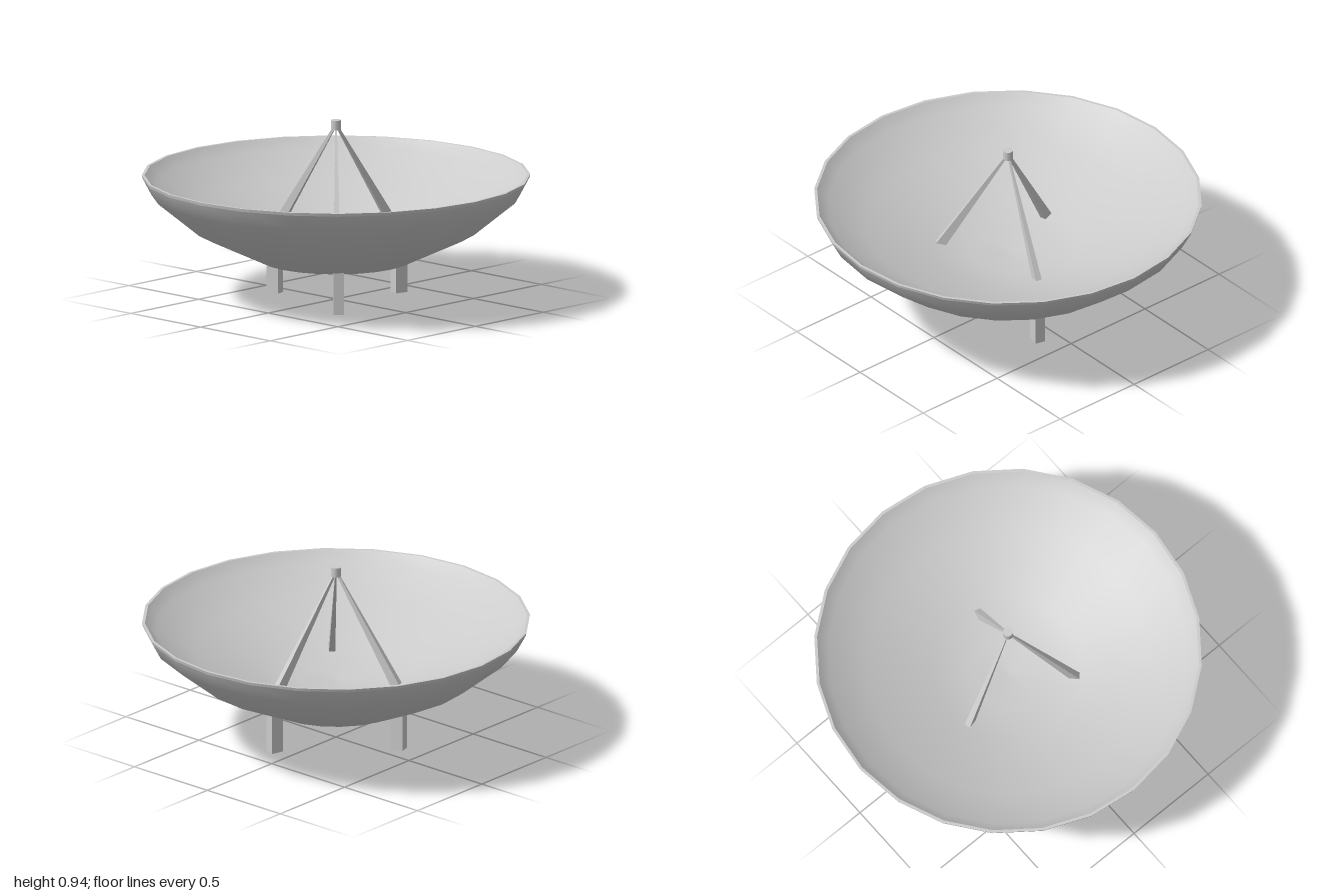
import * as THREE from 'three';

const material = new THREE.MeshStandardMaterial({ color: 0xcccccc });
const SIDES = 24;
const ANGLES = [15, 135, 255]; // legs and struts share these bearings

function addMesh(parent, name, geometry) {
  const mesh = new THREE.Mesh(geometry, material);
  mesh.name = name;
  parent.add(mesh);
  return mesh;
}

// Surface of revolution; separate bands keep the rim edges sharp
function addBand(parent, name, profile) {
  const points = profile.map(([r, y]) => new THREE.Vector2(r, y));
  return addMesh(parent, name, new THREE.LatheGeometry(points, SIDES));
}

// Group whose local +x points outward along the bearing
function addSpoke(parent, name, degrees) {
  const spoke = new THREE.Group();
  spoke.name = name;
  spoke.rotation.y = -THREE.MathUtils.degToRad(degrees);
  parent.add(spoke);
  return spoke;
}

// Box that narrows towards its top
function taperedBox(width, height, depth, topScale) {
  const geometry = new THREE.BoxGeometry(width, height, depth);
  const pos = geometry.attributes.position;
  for (let i = 0; i < pos.count; i++) {
    if (pos.getY(i) > 0) {
      pos.setX(i, pos.getX(i) * topScale);
      pos.setZ(i, pos.getZ(i) * topScale);
    }
  }
  geometry.computeVertexNormals();
  return geometry;
}

export function createModel() {
  const model = new THREE.Group();
  model.name = 'dishAntenna';

  // Dish: outer shell, thin rim and shallower inner bowl
  const dish = new THREE.Group();
  dish.name = 'dish';
  model.add(dish);
  addBand(dish, 'outerShell', [
    [0, 0.187], [0.2, 0.193], [0.39, 0.209], [0.73, 0.37], [0.95, 0.55], [0.996, 0.637],
  ]);
  addBand(dish, 'rimBand', [[0.996, 0.637], [1, 0.653]]);
  addBand(dish, 'rimTop', [[1, 0.653], [0.985, 0.653]]);
  addBand(dish, 'innerBowl', [
    [0.985, 0.653], [0.93, 0.6], [0.73, 0.485], [0.39, 0.362], [0.2, 0.327], [0, 0.315],
  ]);

  // Feed at the focus
  addMesh(model, 'feed', new THREE.CylinderGeometry(0.026, 0.026, 0.05, 12)).position.y = 0.915;

  // Struts rising from the bowl to the feed
  const foot = new THREE.Vector2(0.358, 0.33);
  const tip = new THREE.Vector2(0.01, 0.9);
  for (const angle of ANGLES) {
    const spoke = addSpoke(model, 'strut', angle);
    const bar = addMesh(spoke, 'strutBar', taperedBox(0.05, foot.distanceTo(tip), 0.034, 0.25));
    bar.position.set((foot.x + tip.x) / 2, (foot.y + tip.y) / 2, 0);
    bar.rotation.z = Math.atan2(foot.x - tip.x, tip.y - foot.y);
  }

  // Legs under the dish
  for (const angle of ANGLES) {
    const spoke = addSpoke(model, 'leg', angle);
    spoke.position.z = 0.01;
    addMesh(spoke, 'legPost', new THREE.BoxGeometry(0.068, 0.25, 0.054)).position.set(0.369, 0.125, 0);
  }

  return model;
}
